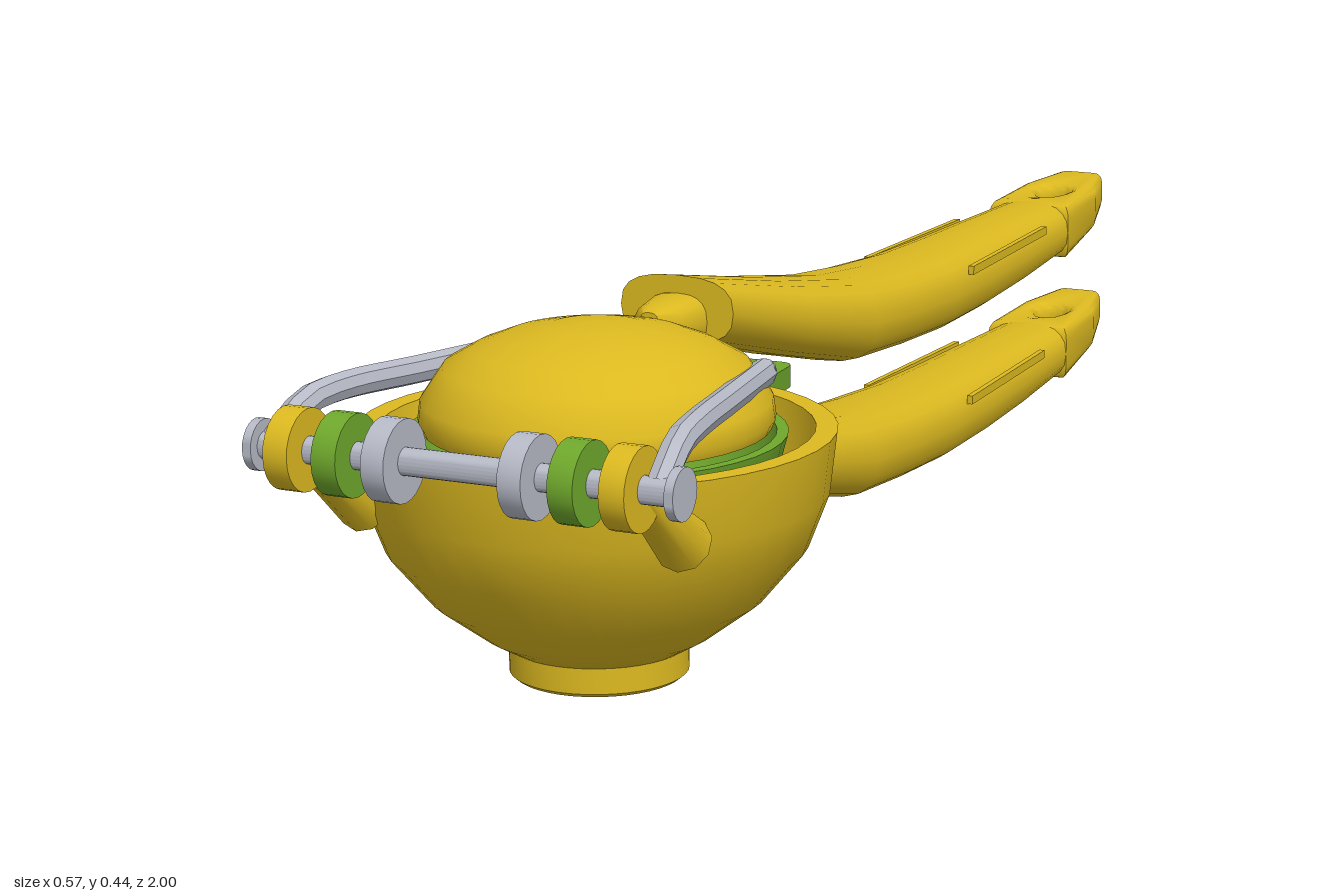
import * as THREE from 'three';
import { toCreasedNormals } from 'three/addons/utils/BufferGeometryUtils.js';

const CZ = 0.63; // bowl centre
const yellow = new THREE.MeshStandardMaterial({ color: 0xdcb920 });
const green = new THREE.MeshStandardMaterial({ color: 0x6fa82c });
const steel = new THREE.MeshStandardMaterial({ color: 0xb6bac6 });
yellow.name = 'yellow enamel';
green.name = 'green enamel';
steel.name = 'steel';

const v = (x, y, z) => new THREE.Vector3(x, y, z);

function add(parent, name, geometry, material, x = 0, y = 0, z = 0) {
  const mesh = new THREE.Mesh(toCreasedNormals(geometry, 0.65), material);
  mesh.name = name;
  mesh.position.set(x, y, z);
  parent.add(mesh);
  return mesh;
}

const lathe = (points) =>
  new THREE.LatheGeometry(points.map(([r, y]) => new THREE.Vector2(r, y)), 40);

// Tapered round bar between two points
function strut(parent, name, a, b, ra, rb, material, sides = 10) {
  const mesh = add(parent, name, new THREE.CylinderGeometry(rb, ra, a.distanceTo(b), sides), material);
  mesh.position.copy(a).lerp(b, 0.5);
  mesh.quaternion.setFromUnitVectors(v(0, 1, 0), b.clone().sub(a).normalize());
}

// Disc or rod lying along x
function axial(parent, name, x, radius, width, material) {
  const g = new THREE.CylinderGeometry(radius, radius, width, 24).rotateZ(Math.PI / 2);
  return add(parent, name, g, material, x, 0.326, 0.951);
}

// Handle body: rounded sections [z, top, bottom, half width]
function loft(sections, n = 20) {
  const pos = [], index = [];
  const soft = (c) => Math.sign(c) * Math.abs(c) ** 0.75;
  for (const [z, top, bottom, w] of sections) {
    for (let j = 0; j < n; j++) {
      const a = (j / n) * Math.PI * 2;
      pos.push(w * soft(Math.cos(a)), (top + bottom) / 2 + ((top - bottom) / 2) * soft(Math.sin(a)), z);
    }
  }
  const last = (sections.length - 1) * n;
  for (let i = 0; i < last; i += n) {
    for (let j = 0; j < n; j++) {
      const k = (j + 1) % n;
      index.push(i + j, i + n + j, i + k, i + k, i + n + j, i + n + k);
    }
  }
  for (let j = 1; j < n - 1; j++) {
    index.push(0, j, j + 1, last, last + j + 1, last + j);
  }
  const g = new THREE.BufferGeometry();
  g.setAttribute('position', new THREE.Float32BufferAttribute(pos, 3));
  g.setIndex(index);
  return g;
}

// Handle end with a hanging hole that widens into a ramp
function tipGeometry() {
  const s = new THREE.Shape();
  s.moveTo(-0.063, 0.77);
  s.lineTo(0.063, 0.77);
  s.lineTo(0.058, 0.9);
  s.lineTo(0.037, 0.985);
  s.quadraticCurveTo(0.034, 1, 0.02, 1);
  s.lineTo(-0.02, 1);
  s.quadraticCurveTo(-0.034, 1, -0.037, 0.985);
  s.lineTo(-0.058, 0.9);
  s.closePath();
  const hole = new THREE.Path();
  hole.absarc(0, 0.87, 0.025, 0, Math.PI * 2, true);
  s.holes.push(hole);
  const g = new THREE.ExtrudeGeometry(s, {
    depth: 0.04, bevelThickness: 0.02, bevelSize: 0.012, bevelOffset: -0.012,
    bevelSegments: 3, curveSegments: 8,
  }).rotateX(-Math.PI / 2);
  const p = g.attributes.position;
  for (let i = 0; i < p.count; i++) {
    const x = p.getX(i), z = p.getZ(i), t = (p.getY(i) + 0.02) / 0.08;
    const f = THREE.MathUtils.clamp((-0.77 - z) / 0.23, 0, 1);
    p.setY(i, THREE.MathUtils.lerp(0.241 + 0.039 * f, 0.323 + 0.012 * f, t));
    if (Math.hypot(x, z + 0.87) < 0.042 && z > -0.87 && (t < 0.05 || t > 0.95)) {
      p.setZ(i, -0.87 + (z + 0.87) * 2);
    }
  }
  return g;
}

function makeHandle(name, start, dy) {
  const handle = new THREE.Group();
  handle.name = name;
  handle.position.y = dy;
  add(handle, 'handleGrip', loft([
    start,
    [0.2, 0.396, 0.297, 0.09],
    [0, 0.36, 0.246, 0.088],
    [-0.15, 0.344, 0.234, 0.084],
    [-0.3, 0.333, 0.226, 0.08],
    [-0.45, 0.329, 0.226, 0.075],
    [-0.6, 0.327, 0.231, 0.07],
    [-0.785, 0.324, 0.242, 0.062],
  ]), yellow);
  add(handle, 'handleTip', tipGeometry(), yellow);
  // slim ribs on both sides
  for (const side of [-1, 1]) {
    const rib = add(handle, 'gripRib', new THREE.BoxGeometry(0.008, 0.012, 0.31), yellow, side * 0.0735, 0.308, -0.5);
    rib.rotation.y = side * 0.035;
  }
  return handle;
}

export function createModel() {
  const model = new THREE.Group();

  // Lower bowl with a thick wall
  add(model, 'bowl', lathe([
    [0, 0.03], [0.105, 0.035], [0.14, 0.055], [0.2, 0.1], [0.25, 0.16], [0.275, 0.225],
    [0.284, 0.3], [0.258, 0.3], [0.248, 0.23], [0.225, 0.17], [0.18, 0.115], [0.12, 0.07], [0, 0.05],
  ]), yellow, 0, 0, CZ);

  // Hollow foot with spokes and hub
  add(model, 'foot', lathe([
    [0.08, 0.038], [0.08, 0.006], [0.086, 0], [0.101, 0], [0.107, 0.005], [0.107, 0.038],
  ]), yellow, 0, 0, CZ);
  add(model, 'footHub', new THREE.CylinderGeometry(0.028, 0.028, 0.022, 20), yellow, 0, 0.022, CZ);
  for (let i = 0; i < 3; i++) {
    const spoke = add(model, 'footSpoke', new THREE.BoxGeometry(0.165, 0.018, 0.014), yellow, 0, 0.023, CZ);
    spoke.rotation.y = (i * Math.PI) / 3;
  }

  // Smaller green press cup with its rear tab
  add(model, 'innerCup', lathe([
    [0, 0.105], [0.1, 0.125], [0.17, 0.175], [0.21, 0.235], [0.226, 0.295],
    [0.212, 0.295], [0.196, 0.24], [0.155, 0.185], [0.09, 0.14], [0, 0.12],
  ]), green, 0, 0, CZ);
  const tab = new THREE.Shape();
  tab.moveTo(-0.075, -0.43);
  tab.lineTo(0.075, -0.43);
  tab.lineTo(0.06, -0.22);
  tab.quadraticCurveTo(0.058, -0.2, 0.04, -0.2);
  tab.lineTo(-0.04, -0.2);
  tab.quadraticCurveTo(-0.058, -0.2, -0.06, -0.22);
  add(model, 'cupTab', new THREE.ExtrudeGeometry(tab, { depth: 0.028, bevelEnabled: false })
    .rotateX(-Math.PI / 2), green, 0, 0.262, 0);

  // Domed upper press
  add(model, 'pressDome', lathe([
    [0, 0.295], [0.205, 0.3], [0.21, 0.312], [0.207, 0.335], [0.18, 0.375],
    [0.145, 0.395], [0.107, 0.41], [0.055, 0.421], [0, 0.425],
  ]), yellow, 0, 0, CZ - 0.003);
  add(model, 'domeTongue', loft([
    [0.49, 0.408, 0.385, 0.012], [0.465, 0.414, 0.36, 0.032],
    [0.42, 0.418, 0.35, 0.04], [0.38, 0.415, 0.35, 0.045],
  ]), yellow);

  // Two long handles
  model.add(makeHandle('upperHandle', [0.415, 0.44, 0.356, 0.076], 0));
  model.add(makeHandle('lowerHandle', [0.39, 0.425, 0.335, 0.08], -0.185));

  // Hinge rod and end caps
  axial(model, 'hingeRod', 0.005, 0.016, 0.53, steel);
  axial(model, 'hingeCap', -0.257, 0.03, 0.011, steel);
  axial(model, 'hingeCap', 0.268, 0.03, 0.011, steel);

  for (const s of [-1, 1]) {
    // Knuckles on the rod
    axial(model, 'bowlKnuckle', s * 0.209, 0.048, 0.031, yellow);
    axial(model, 'cupKnuckle', s * 0.147, 0.048, 0.031, green);
    axial(model, 'pressKnuckle', s * 0.085, 0.048, 0.029, steel);
    // Lugs joining knuckles to bowl and cup
    strut(model, 'bowlLug', v(s * 0.209, 0.315, 0.935), v(s * 0.204, 0.228, 0.815), 0.019, 0.034, yellow);
    strut(model, 'cupLug', v(s * 0.147, 0.315, 0.935), v(s * 0.14, 0.272, 0.81), 0.019, 0.022, green);
    // Bent arm reaching along the dome
    const path = new THREE.CatmullRomCurve3([
      v(s * 0.165, 0.357, 0.52), v(s * 0.2, 0.364, 0.7), v(s * 0.226, 0.369, 0.83),
      v(s * 0.235, 0.363, 0.89), v(s * 0.242, 0.328, 0.95),
    ]);
    add(model, 'pressArm', new THREE.TubeGeometry(path, 16, 0.017, 8), steel);
    add(model, 'armEnd', new THREE.SphereGeometry(0.017, 8, 6), steel, s * 0.165, 0.357, 0.52);
  }
  return model;
}
